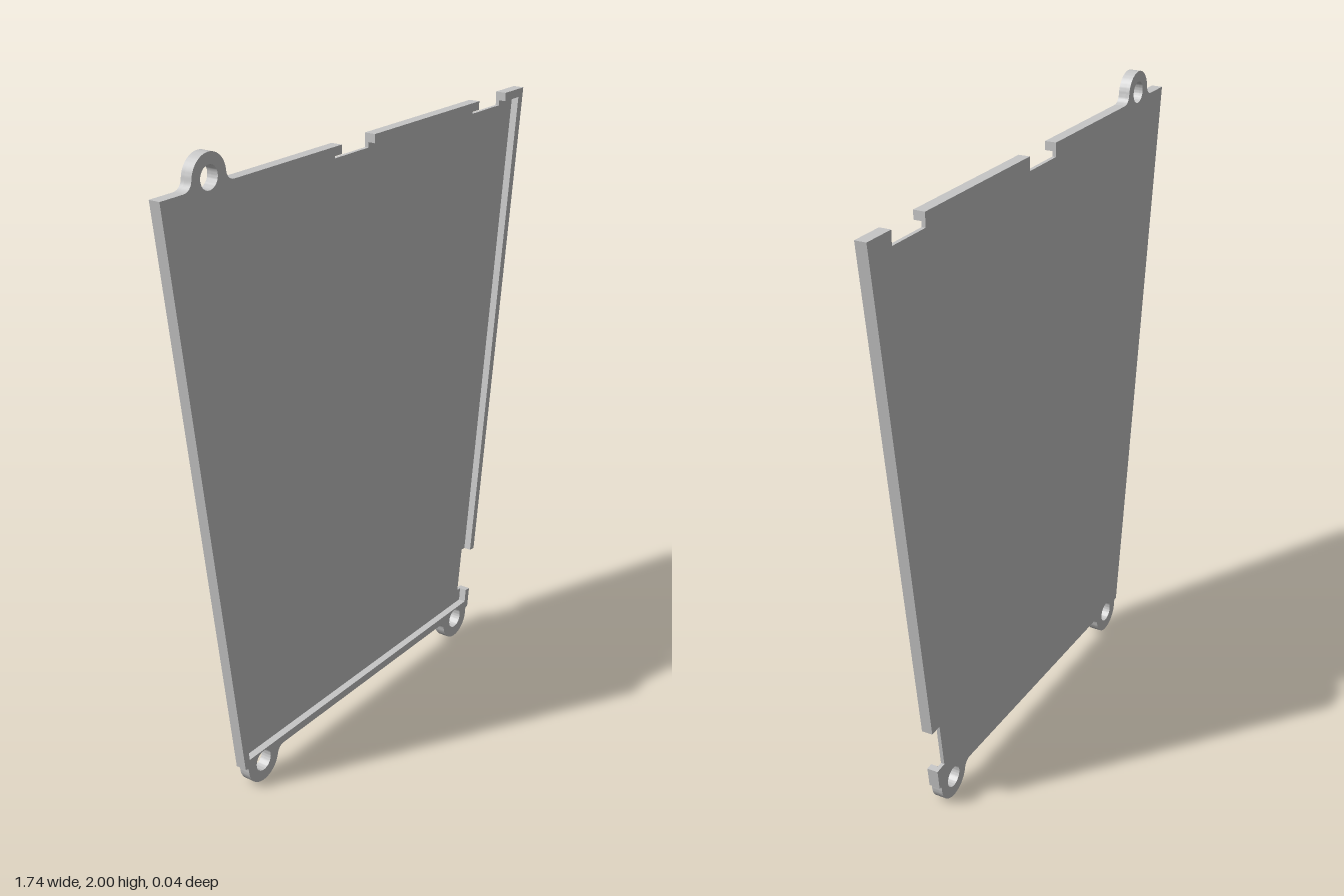
import * as THREE from 'three';
import { toCreasedNormals } from 'three/addons/utils/BufferGeometryUtils.js';

const BACK = -0.018, FLOOR = -0.006, FRONT = 0.018;
const HOLE = 0.034;

// Screw lugs: centre, radius, edge line, outward direction, fillet radius at start and end
const topLug = { x: -0.682, y: 1.933, r: 0.067, edge: 1.91, s: 1, f: [0.03, 0.03] };
const leftLug = { x: -0.535, y: 0.07, r: 0.07, edge: 0.082, s: -1, f: [0.01, 0.03] };
const rightLug = { x: 0.535, y: 0.07, r: 0.07, edge: 0.082, s: -1, f: [0.03, 0.01] };

// Counterclockwise outline of a lug, with fillets running into the edge
function lugPoints({ x, y, r, edge, s, f }) {
  const h = (y - edge) * s;
  const reach = (fr) => Math.sqrt((r + fr) ** 2 - (fr - h) ** 2);
  const contact = (fr) => Math.atan2(fr - h, reach(fr));
  const fillet = (fr, side) => Array.from({ length: 6 }, (_, i) => {
    const t = -Math.PI / 2 - (i / 6) * (Math.PI / 2 - contact(fr));
    return [side * (reach(fr) + fr * Math.cos(t)), fr - h + fr * Math.sin(t)];
  });
  const a0 = contact(f[0]), a1 = Math.PI - contact(f[1]);
  const arc = Array.from({ length: 33 }, (_, i) => {
    const t = a0 + (a1 - a0) * i / 32;
    return [r * Math.cos(t), r * Math.sin(t)];
  });
  return [...fillet(f[0], 1), ...arc, ...fillet(f[1], -1).reverse()]
    .map(([px, py]) => [x + s * px, y + s * py]);
}

// Flat plate from an outline, pierced by the holes of the given lugs
function plate(name, points, lugs, z0, z1, material) {
  const shape = new THREE.Shape(points.map(([x, y]) => new THREE.Vector2(x, y)));
  for (const l of lugs) {
    shape.holes.push(new THREE.Path().absarc(l.x, l.y, HOLE, 0, Math.PI * 2, true));
  }
  const geo = new THREE.ExtrudeGeometry(shape, { depth: z1 - z0, bevelEnabled: false, curveSegments: 24 });
  geo.translate(0, 0, z0);
  const mesh = new THREE.Mesh(toCreasedNormals(geo, 0.6), material);
  mesh.name = name;
  return mesh;
}

export function createModel() {
  const group = new THREE.Group();
  group.name = 'coverPanel';
  const grey = new THREE.MeshStandardMaterial({ color: 0xc6c6c6 });
  grey.name = 'light grey';
  const lugs = [topLug, leftLug, rightLug];

  // Outer edge from the middle top notch, round the left and bottom, to the side notch
  const longEdge = [
    [-0.12, 1.91], ...lugPoints(topLug), [-0.868, 1.91],
    [-0.62, 0.082], ...lugPoints(leftLug), ...lugPoints(rightLug),
    [0.618, 0.082], [0.627, 0.15],
  ];
  // Outer edge above the side notch, up to the corner notch
  const rightEdge = [[0.649, 0.304], [0.868, 1.91], [0.758, 1.91]];

  // Thin back sheet with all notches
  group.add(plate('backSheet', [
    ...longEdge, [0.587, 0.153], [0.608, 0.307], ...rightEdge,
    [0.758, 1.867], [0.6, 1.867], [0.6, 1.91],
    [0.04, 1.91], [0.04, 1.867], [-0.12, 1.867],
  ], lugs, BACK, FLOOR, grey));

  // Raised rim, interrupted by the notches
  group.add(plate('mainRim', [
    ...longEdge, [0.605, 0.152], [0.6, 0.108], [-0.6, 0.108], [-0.841, 1.883], [-0.12, 1.883],
  ], lugs, FLOOR, FRONT, grey));
  group.add(plate('rightRim', [
    ...rightEdge, [0.758, 1.883], [0.839, 1.883], [0.626, 0.306],
  ], [], FLOOR, FRONT, grey));
  group.add(plate('topRim', [
    [0.04, 1.883], [0.6, 1.883], [0.6, 1.91], [0.04, 1.91],
  ], [], FLOOR, FRONT, grey));

  return group;
}
